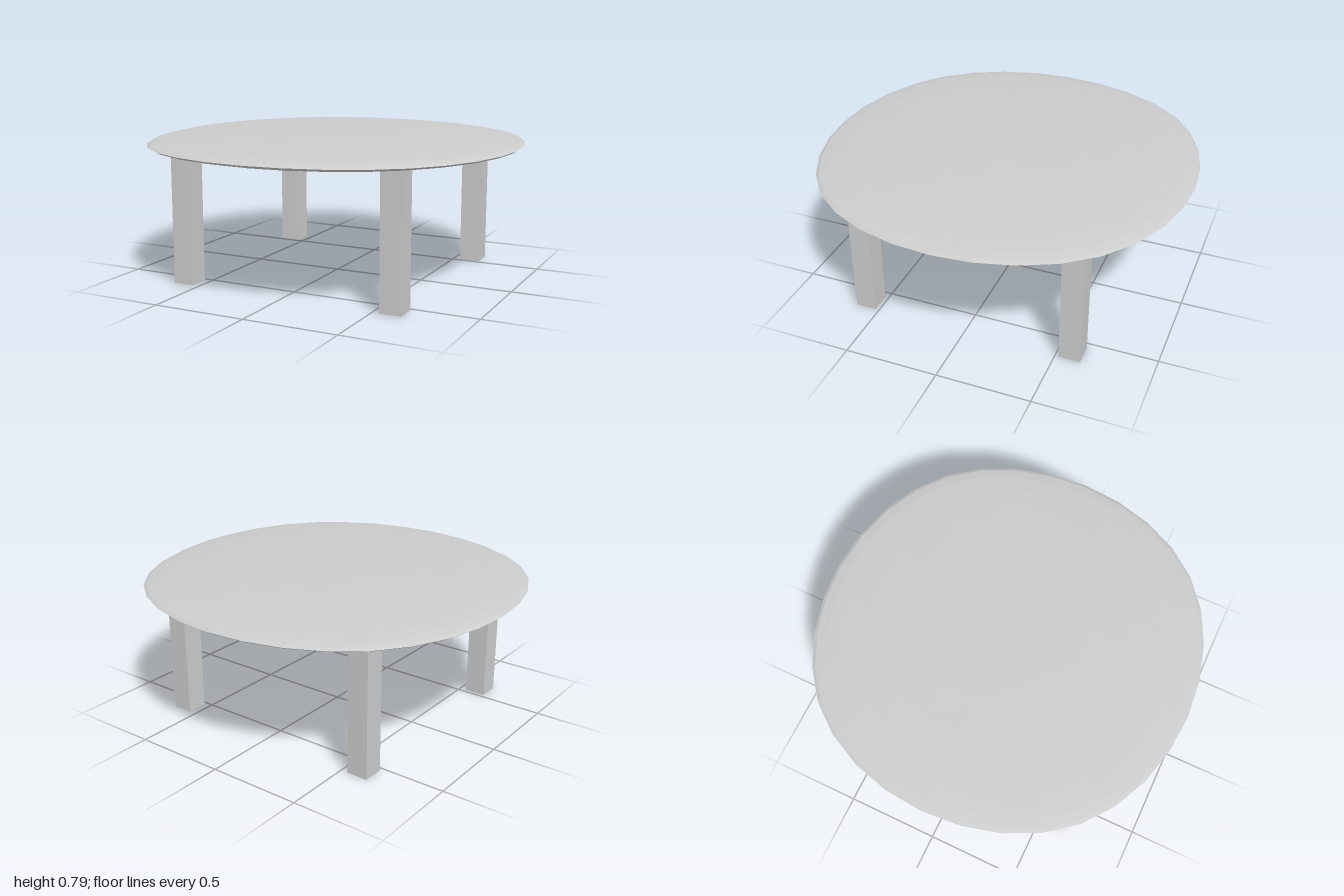
import * as THREE from 'three';

// One Catmull-Clark step on a closed quad mesh
function subdivide({ points, quads }) {
  const sum = (list) => list.reduce((a, p) => a.add(p), new THREE.Vector3());
  const mean = (list) => sum(list).divideScalar(list.length);
  const centres = quads.map((q) => mean(q.map((i) => points[i])));
  const edges = new Map();
  const around = points.map(() => ({ centres: [], mids: [] }));
  const key = (a, b) => (a < b ? `${a}_${b}` : `${b}_${a}`);

  quads.forEach((q, f) => q.forEach((a, k) => {
    const b = q[(k + 1) % 4];
    around[a].centres.push(centres[f]);
    if (!edges.has(key(a, b))) {
      edges.set(key(a, b), { id: points.length + edges.size, ends: [points[a], points[b]], centres: [] });
      const mid = mean([points[a], points[b]]);
      around[a].mids.push(mid);
      around[b].mids.push(mid);
    }
    edges.get(key(a, b)).centres.push(centres[f]);
  }));

  const moved = points.map((p, i) => {
    const n = around[i].centres.length;
    return p.clone().multiplyScalar(n - 3)
      .add(mean(around[i].centres))
      .addScaledVector(mean(around[i].mids), 2)
      .divideScalar(n);
  });
  const edgePoints = [...edges.values()].map((e) => mean([...e.ends, ...e.centres]));
  const firstCentre = points.length + edges.size;
  const newQuads = quads.flatMap((q, f) => q.map((a, k) => [
    a,
    edges.get(key(a, q[(k + 1) % 4])).id,
    firstCentre + f,
    edges.get(key(q[(k + 3) % 4], a)).id,
  ]));
  return { points: [...moved, ...edgePoints, ...centres], quads: newQuads };
}

// Rounded pillow shape: a cube subdivided three times, stretched to the given half sizes
function pillowGeometry(halfWidth, halfHeight, halfDepth) {
  const points = [];
  for (const z of [-1, 1]) for (const y of [-1, 1]) for (const x of [-1, 1]) {
    points.push(new THREE.Vector3(x, y, z));
  }
  let mesh = {
    points,
    quads: [[4, 5, 7, 6], [1, 0, 2, 3], [5, 1, 3, 7], [0, 4, 6, 2], [6, 7, 3, 2], [0, 1, 5, 4]],
  };
  for (let level = 0; level < 3; level++) mesh = subdivide(mesh);

  const reach = Math.max(...mesh.points.map((p) => p.x));
  const geometry = new THREE.BufferGeometry().setFromPoints(mesh.points);
  geometry.setIndex(mesh.quads.flatMap(([a, b, c, d]) => [a, b, c, a, c, d]));
  geometry.scale(halfWidth / reach, halfHeight / reach, halfDepth / reach);
  geometry.computeVertexNormals();
  return geometry;
}

export function createModel() {
  const group = new THREE.Group();
  const material = new THREE.MeshStandardMaterial({ color: 0xcccccc, flatShading: true });

  // Table top
  const top = new THREE.Mesh(pillowGeometry(1, 0.055, 1), material);
  top.name = 'tableTop';
  top.position.y = 0.73;
  group.add(top);

  // Four square legs, ending inside the top
  const legHeight = 0.73;
  const legGeometry = new THREE.BoxGeometry(0.114, legHeight, 0.114);
  for (const [zName, z] of [['front', 1], ['back', -1]]) {
    for (const [xName, x] of [['Left', 1], ['Right', -1]]) {
      const leg = new THREE.Mesh(legGeometry, material);
      leg.name = `${zName}${xName}Leg`;
      leg.position.set(x * 0.595, legHeight / 2, z * 0.577);
      group.add(leg);
    }
  }
  return group;
}
